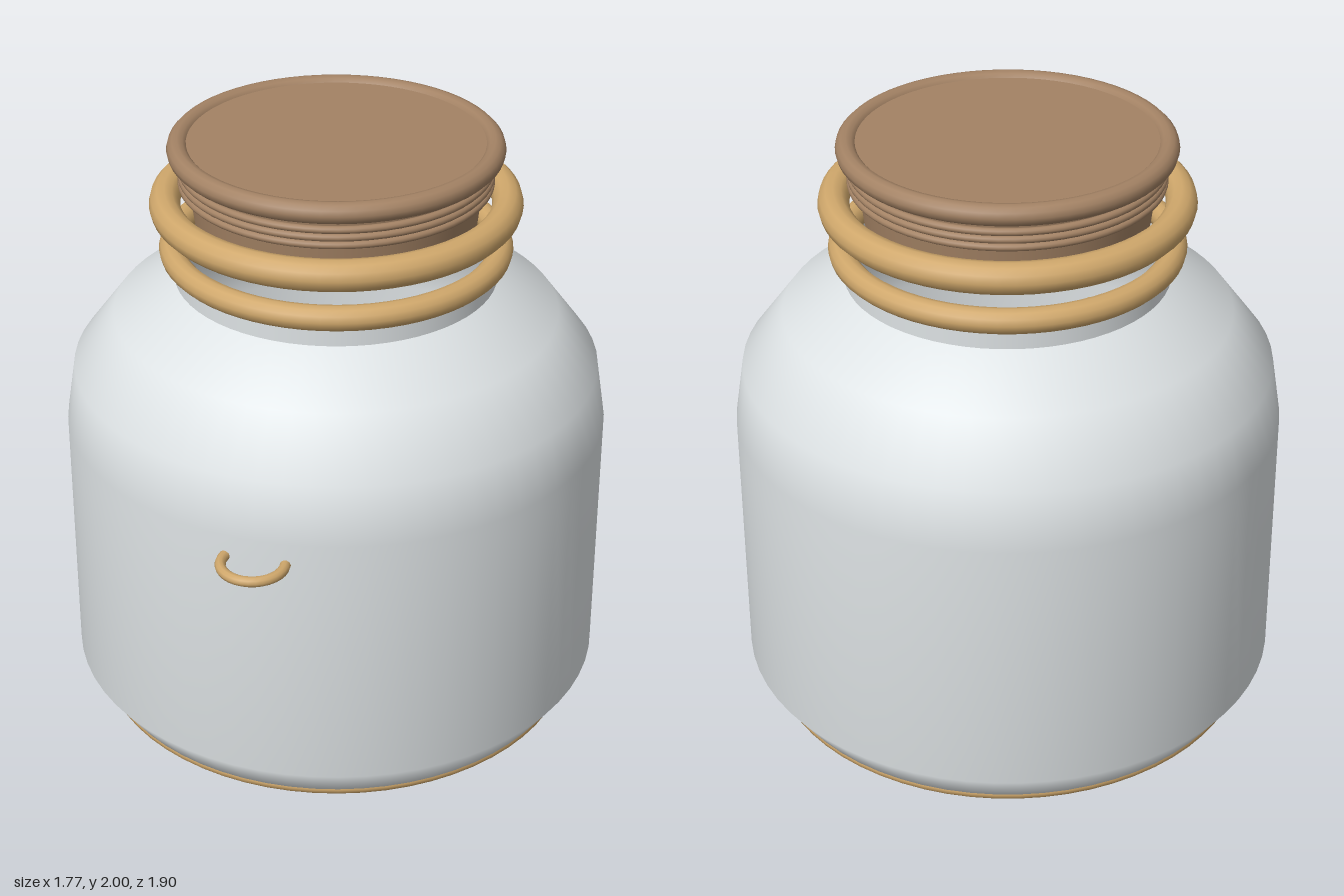
import * as THREE from 'three';

export function createModel() {
  const model = new THREE.Group();
  model.name = 'jar';

  const material = (name, color, side = THREE.FrontSide) => {
    const m = new THREE.MeshStandardMaterial({ color, side });
    m.name = name;
    return m;
  };
  const glass = material('pale grey', 0xdde2e4, THREE.DoubleSide);
  const tan = material('tan', 0xcfa76b);
  const brown = material('brown', 0xa38264);

  // Everything round shares the jar axis, set slightly back to leave room for the loop
  const axis = new THREE.Group();
  axis.name = 'jarBody';
  axis.position.z = -0.065;
  model.add(axis);

  const add = (name, geometry, mat, y = 0, parent = axis) => {
    const mesh = new THREE.Mesh(geometry, mat);
    mesh.name = name;
    mesh.position.y = y;
    parent.add(mesh);
    return mesh;
  };
  const lathe = (points) =>
    new THREE.LatheGeometry(points.map(([r, y]) => new THREE.Vector2(r, y)), 64);
  const ring = (name, radius, tube, y, mat, parent = axis) =>
    add(name, new THREE.TorusGeometry(radius, tube, 12, 64).rotateX(Math.PI / 2), mat, y, parent);

  // Hollow vessel: base, wall and shoulder, then a crisp neck
  add('vessel', lathe([
    [0, 0], [0.66, 0], [0.80, 0.05], [0.885, 0.17], [0.885, 1.04],
    [0.855, 1.23], [0.72, 1.41], [0.52, 1.53],
  ]), glass);
  add('neck', lathe([[0.52, 1.53], [0.52, 1.64]]), glass);

  // Bands around the foot and mouth
  ring('footBand', 0.783, 0.025, 0.055, tan);
  ring('mouthRim', 0.526, 0.04, 1.63, tan);

  // Lid hovering above the mouth
  const lid = new THREE.Group();
  lid.name = 'lid';
  axis.add(lid);
  add('lidPlug', new THREE.CylinderGeometry(0.475, 0.45, 0.215, 64), brown, 1.8325, lid);
  add('lidTop', new THREE.CylinderGeometry(0.475, 0.475, 0.045, 64), brown, 1.9625, lid);
  ring('lidCollar', 0.543, 0.05, 1.782, tan, lid);
  for (const y of [1.855, 1.88, 1.905]) ring('lidThread', 0.488, 0.012, y, brown, lid);
  ring('lidEdge', 0.498, 0.034, 1.966, brown, lid);

  // Small hanging loop on the front
  const loop = add('frontLoop',
    new THREE.TorusGeometry(0.099, 0.017, 10, 32).rotateX(Math.PI / 2), tan, 0.968, model);
  loop.position.z = 0.835;

  return model;
}
